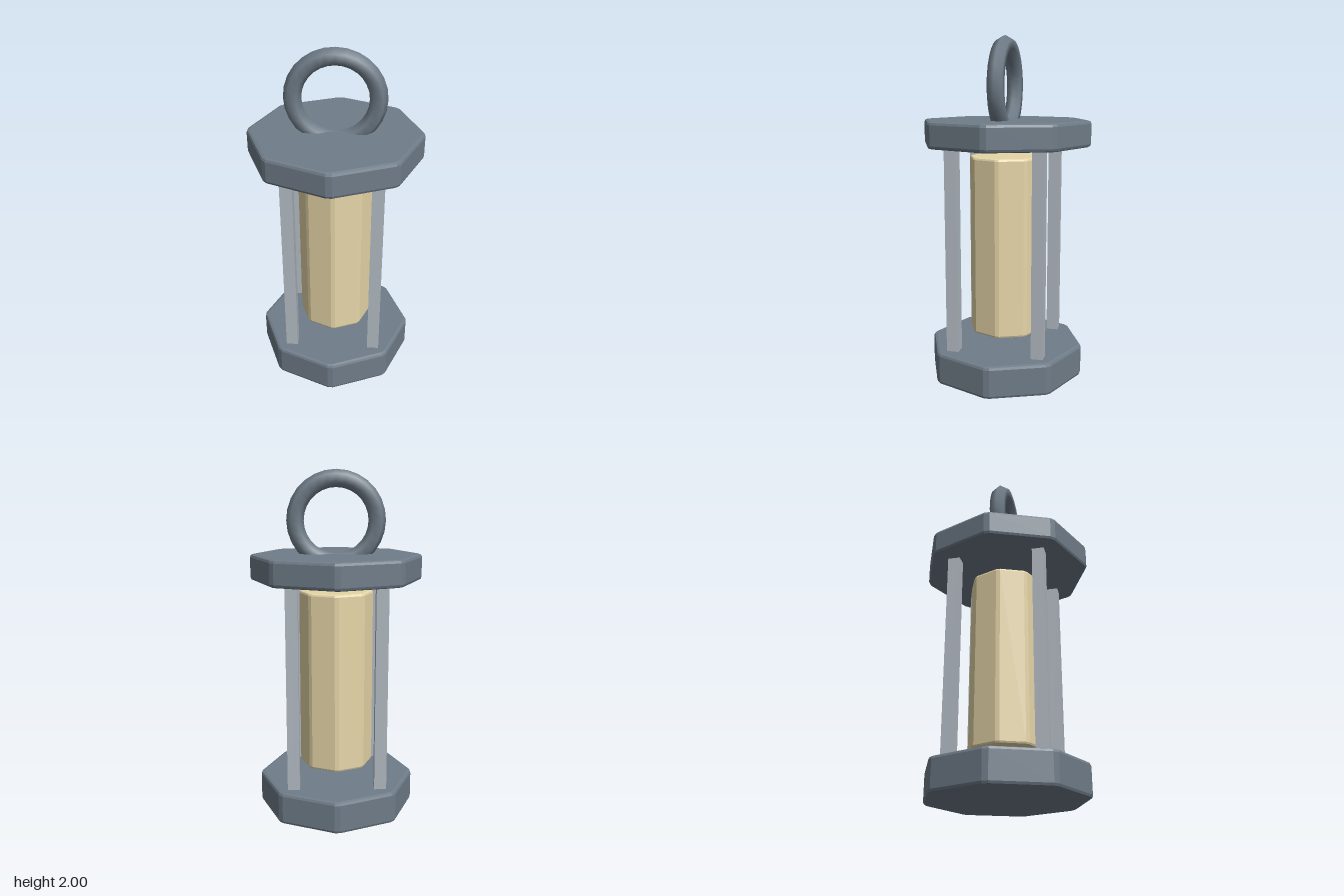
import * as THREE from 'three';

const material = (color, flatShading = true) => new THREE.MeshStandardMaterial({ color, flatShading });

// Upright octagonal prism, corners on the axes, with trimmed corners and bevelled rims
function octagonPrism(radius, y0, y1, bevel) {
  const corner = (i) => new THREE.Vector2(Math.cos(i * Math.PI / 4), Math.sin(i * Math.PI / 4)).multiplyScalar(radius);
  const trim = bevel / corner(0).distanceTo(corner(1));
  const points = [];
  for (let i = 0; i < 8; i++) {
    points.push(corner(i).lerp(corner(i - 1), trim), corner(i).lerp(corner(i + 1), trim));
  }
  const geometry = new THREE.ExtrudeGeometry(new THREE.Shape(points), {
    depth: y1 - y0 - 2 * bevel,
    bevelThickness: bevel, bevelSize: bevel, bevelOffset: -bevel, bevelSegments: 2,
  });
  geometry.rotateX(-Math.PI / 2);
  geometry.translate(0, y0 + bevel, 0);
  return geometry;
}

export function createModel() {
  const model = new THREE.Group();
  model.name = 'lantern';
  const add = (name, geometry, mat) => {
    const mesh = new THREE.Mesh(geometry, mat);
    mesh.name = name;
    model.add(mesh);
    return mesh;
  };
  const darkMetal = material(0x6f7c88);
  const paleMetal = material(0xb0b8c0);

  // Base, roof and the glowing core floating between them
  add('base', octagonPrism(0.467, 0, 0.19, 0.018), darkMetal);
  add('roof', octagonPrism(0.502, 1.375, 1.525, 0.018), darkMetal);
  add('core', octagonPrism(0.22, 0.265, 1.315, 0.013), material(0xe6d6a8));

  // Four square corner posts, sunk into both plates
  const postGeometry = new THREE.BoxGeometry(0.07, 1.26, 0.07);
  for (const x of [-0.25, 0.25]) {
    for (const z of [-0.25, 0.25]) add('post', postGeometry, paleMetal).position.set(x, 0.78, z);
  }

  // Carrying ring with a six-sided section, sunk into the roof
  add('ring', new THREE.TorusGeometry(0.235, 0.05, 6, 28), material(0x6f7c88, false)).position.y = 1.715;

  return model;
}
